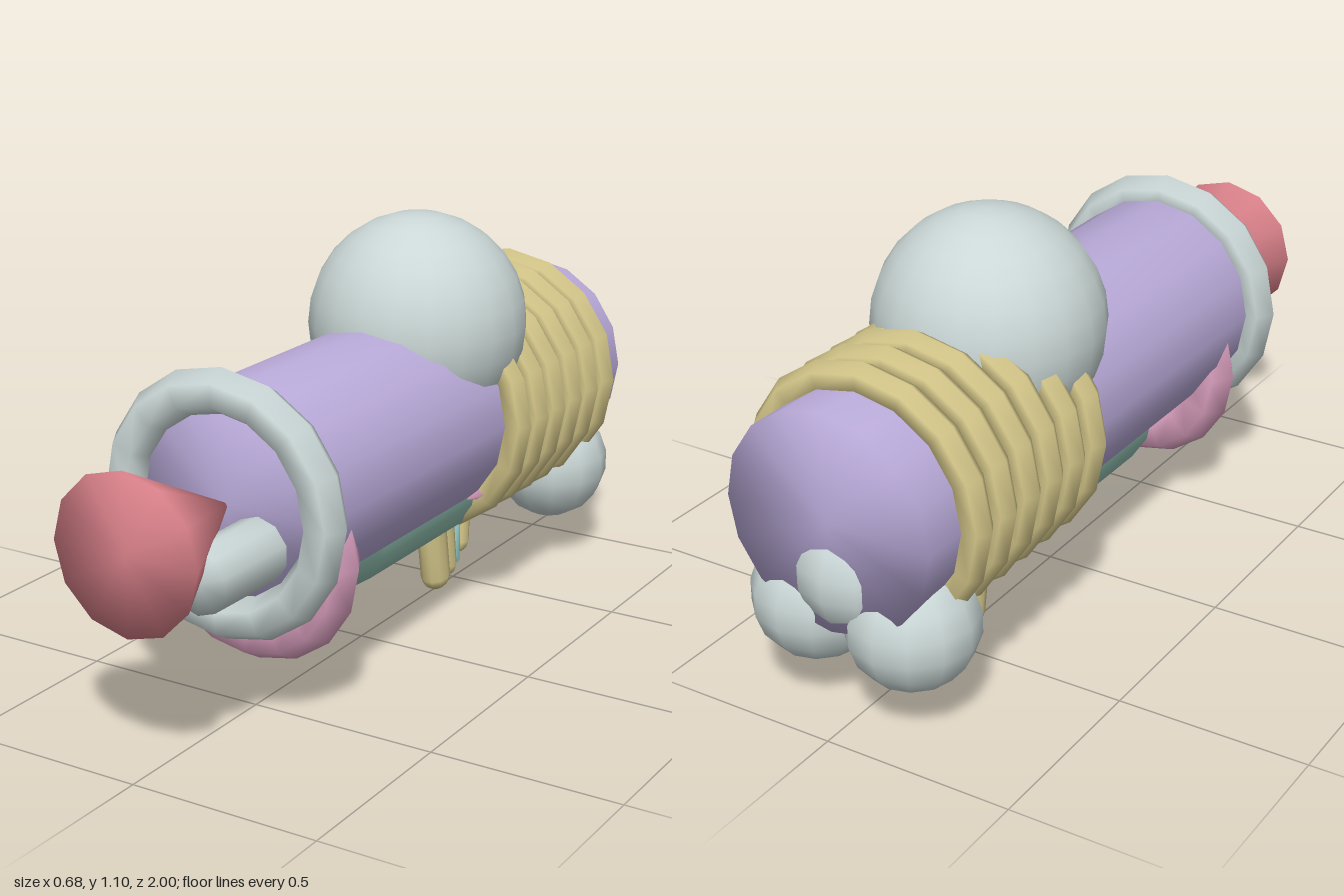
import * as THREE from 'three';
import { mergeVertices } from 'three/addons/utils/BufferGeometryUtils.js';

const paint = (name, color) => {
  const m = new THREE.MeshStandardMaterial({ color });
  m.name = name;
  return m;
};

// Weld a geometry so shading runs smoothly over every edge
function soft(geometry) {
  geometry.deleteAttribute('uv');
  geometry.deleteAttribute('normal');
  const welded = mergeVertices(geometry, 1e-4);
  welded.computeVertexNormals();
  return welded;
}

export function createModel() {
  const model = new THREE.Group();
  const lilac = paint('lilac', 0xbbacdb);
  const silver = paint('silver', 0xcad7d6);
  const pink = paint('pink', 0xdfa3c3);
  const red = paint('red', 0xe0858e);
  const sand = paint('sand', 0xd5c78a);
  const green = paint('green', 0x93c3b4);
  const aqua = paint('aqua', 0x9fdcd8);

  function add(name, geometry, material, x, y, z) {
    const mesh = new THREE.Mesh(soft(geometry), material);
    mesh.name = name;
    mesh.position.set(x, y, z);
    model.add(mesh);
    return mesh;
  }
  // Cylinder lying along z, from z0 (back) to z1 (front)
  function tube(name, rBack, rFront, z0, z1, sides, material, x, y) {
    const g = new THREE.CylinderGeometry(rFront, rBack, z1 - z0, sides).rotateX(Math.PI / 2);
    return add(name, g, material, x, y, (z0 + z1) / 2);
  }
  const ring = (name, radius, thickness, material, y, z) =>
    add(name, new THREE.TorusGeometry(radius, thickness, 6, 16), material, 0, y, z);
  const ball = (name, r, w, h, x, y, z) =>
    add(name, new THREE.SphereGeometry(r, w, h), silver, x, y, z);

  // Main barrel with its muzzle ring and flared nozzle
  tube('body', 0.28, 0.28, -0.965, 0.62, 16, lilac, 0, 0.57);
  ring('muzzleRing', 0.283, 0.057, silver, 0.57, 0.617);
  tube('nozzleCone', 0, 0.2, 0.6, 1, 12, red, 0, 0.57);
  for (const s of [-1, 1]) tube('smallBarrel', 0.083, 0.08, 0.55, 0.865, 10, silver, s * 0.098, 0.48);

  // Dome on top and coils around the rear
  ball('dome', 0.292, 20, 14, 0, 0.818, -0.286);
  for (let i = 0; i < 6; i++) ring('coil', 0.3, 0.04, sand, 0.57, -0.3 - i * 0.101);

  // Under-barrel tank and front hoop
  tube('underTank', 0.2, 0.2, -0.535, 0.19, 16, green, 0, 0.41);
  ring('frontHoop', 0.218, 0.072, pink, 0.42, 0.483);

  // Cluster of balls at the back
  for (const s of [-1, 1]) ball('rearBall', 0.165, 12, 9, s * 0.135, 0.292, -0.832);
  ball('upperRearBall', 0.165, 12, 9, 0, 0.41, -0.835);

  // Small studs in the crease between body and tank
  for (const s of [-1, 1]) {
    const stud = add('sideStud', new THREE.OctahedronGeometry(1), pink, s * 0.198, 0.368, -0.285);
    stud.scale.set(0.03, 0.022, 0.07);
  }

  // Handle: three leaning rounded pieces and a flat strip
  const pieces = [
    // [name, radius, centre y, centre z, full height, depth scale, lean]
    ['gripFront', 0.04, 0.122, -0.387, 0.23, 1.15, 0.17],
    ['gripMiddle', 0.038, 0.13, -0.437, 0.2, 0.9, 0.14],
    ['gripRear', 0.036, 0.165, -0.522, 0.17, 0.9, -0.06]
  ];
  for (const [name, r, y, z, h, depth, lean] of pieces) {
    const grip = add(name, new THREE.CapsuleGeometry(r, h - 2 * r, 3, 10), sand, 0, y, z);
    grip.scale.z = depth;
    grip.rotation.x = lean;
  }
  add('gripStrip', new THREE.CylinderGeometry(0.033, 0.033, 0.16, 8), aqua, 0, 0.15, -0.476).scale.z = 0.9;

  return model;
}
